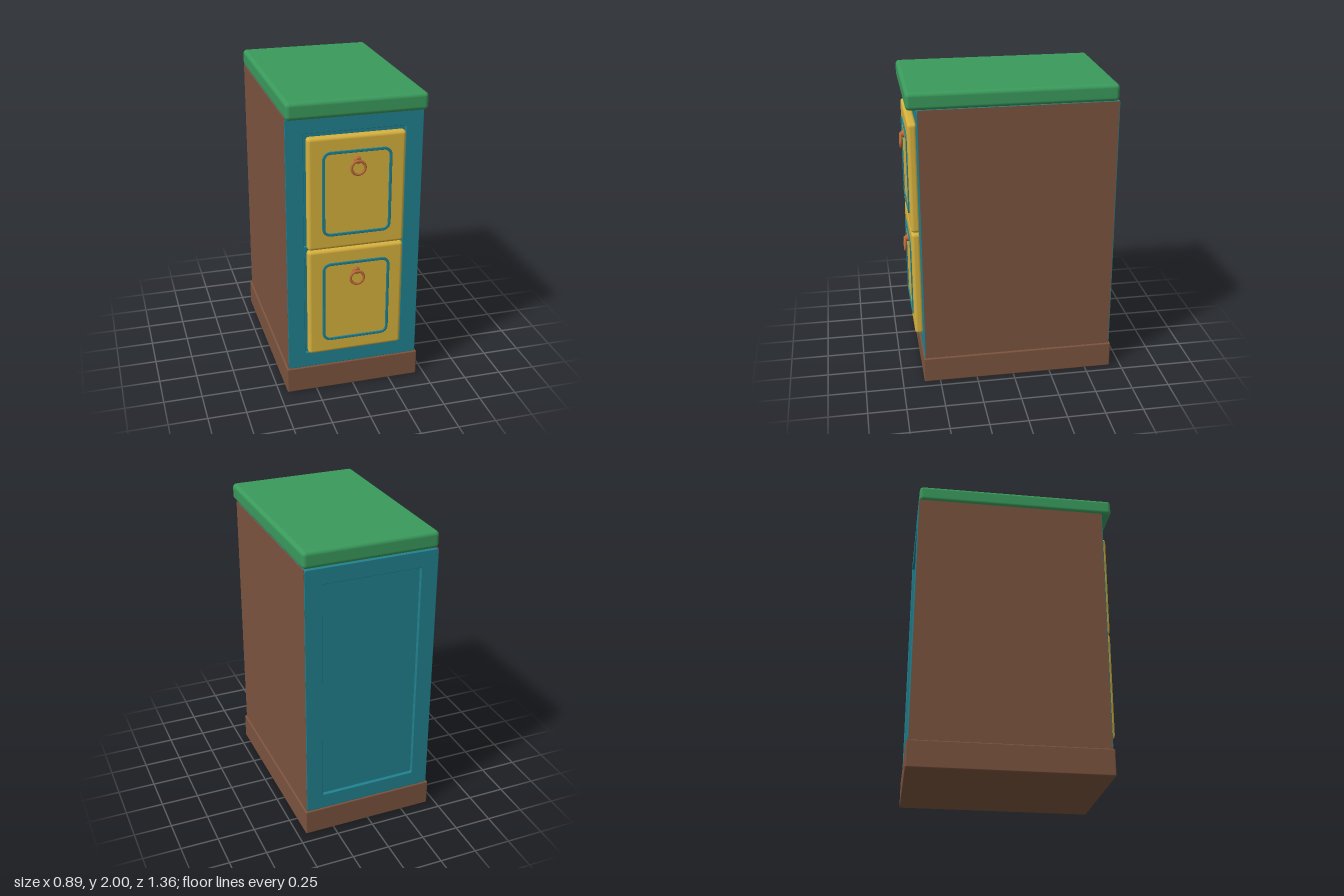
import * as THREE from 'three';
import { RoundedBoxGeometry } from 'three/addons/geometries/RoundedBoxGeometry.js';

const material = (name, color) => {
  const m = new THREE.MeshStandardMaterial({ color });
  m.name = name;
  return m;
};

// Rounded rectangle as a shape or as a hole path
function roundedRect(w, h, r, Type = THREE.Shape) {
  const p = new Type(), x = w / 2, y = h / 2;
  p.moveTo(-x + r, -y);
  p.lineTo(x - r, -y);
  p.absarc(x - r, -y + r, r, -Math.PI / 2, 0);
  p.lineTo(x, y - r);
  p.absarc(x - r, y - r, r, 0, Math.PI / 2);
  p.lineTo(-x + r, y);
  p.absarc(-x + r, y - r, r, Math.PI / 2, Math.PI);
  p.lineTo(-x, -y + r);
  p.absarc(-x + r, -y + r, r, Math.PI, Math.PI * 1.5);
  return p;
}

// Rounded frame with a rounded opening, extruded along z
function frameGeometry(w, h, r, holeW, holeH, holeR, depth, bevel = 0) {
  const shape = roundedRect(w - 2 * bevel, h - 2 * bevel, r);
  shape.holes.push(roundedRect(holeW + 2 * bevel, holeH + 2 * bevel, holeR, THREE.Path));
  return new THREE.ExtrudeGeometry(shape, {
    depth: depth - bevel, curveSegments: 6,
    bevelEnabled: bevel > 0, bevelSize: bevel, bevelThickness: bevel, bevelSegments: 2,
  });
}

export function createModel() {
  const model = new THREE.Group();
  model.name = 'cabinet';
  const green = material('green top', 0x3a9a5c);
  const teal = material('teal frame', 0x218190);
  const brown = material('brown wood', 0x7b533e);
  const yellow = material('yellow drawer', 0xd6b13e);
  const copper = material('copper handle', 0xb86a38);

  const add = (parent, name, geometry, mat, x = 0, y = 0, z = 0) => {
    const mesh = new THREE.Mesh(geometry, mat);
    mesh.name = name;
    mesh.position.set(x, y, z);
    parent.add(mesh);
    return mesh;
  };

  // Plinth and worktop
  add(model, 'plinth', new RoundedBoxGeometry(0.894, 0.175, 1.283, 2, 0.008), brown, 0, 0.0875, -0.0345);
  add(model, 'top', new RoundedBoxGeometry(0.88, 0.11, 1.326, 4, 0.026), green, 0, 1.945, 0);

  // Carcass: recessed core, brown side panels, framed front and back
  const midY = 1.0325, height = 1.715;
  add(model, 'core', new THREE.BoxGeometry(0.86, height, 1.22), teal, 0, midY, -0.035);
  for (const side of [-1, 1]) {
    add(model, 'sidePanel', new THREE.BoxGeometry(0.006, height, 1.256), brown, side * 0.432, midY, -0.035);
  }
  add(model, 'frontFrame', frameGeometry(0.869, height, 0.015, 0.645, 1.505, 0.012, 0.03, 0.003),
    teal, 0, midY, 0.568);
  const backFrame = add(model, 'backFrame', frameGeometry(0.869, height, 0.015, 0.645, 1.505, 0.012, 0.03, 0.003),
    teal, 0, midY, -0.638);
  backFrame.rotation.y = Math.PI;

  // Rail between the drawers
  add(model, 'drawerRail', new THREE.BoxGeometry(0.645, 0.022, 0.03), teal, 0, 1.0325, 0.583);

  // Two drawers with moulding and ring pull
  for (const y of [0.6625, 1.4025]) {
    const drawer = new THREE.Group();
    drawer.name = 'drawer';
    drawer.position.y = y;
    model.add(drawer);
    add(drawer, 'drawerFront', new RoundedBoxGeometry(0.62, 0.735, 0.06, 4, 0.022), yellow, 0, 0, 0.618);
    add(drawer, 'drawerMoulding', frameGeometry(0.44, 0.554, 0.05, 0.404, 0.518, 0.036, 0.013, 0.003),
      teal, 0, 0, 0.643);
    const stud = add(drawer, 'handleStud', new THREE.CylinderGeometry(0.02, 0.024, 0.026, 20), copper, 0, 0.209, 0.659);
    stud.rotation.x = Math.PI / 2;
    add(drawer, 'handleRing', new THREE.TorusGeometry(0.043, 0.0085, 10, 36), copper, 0, 0.167, 0.674);
  }
  return model;
}
